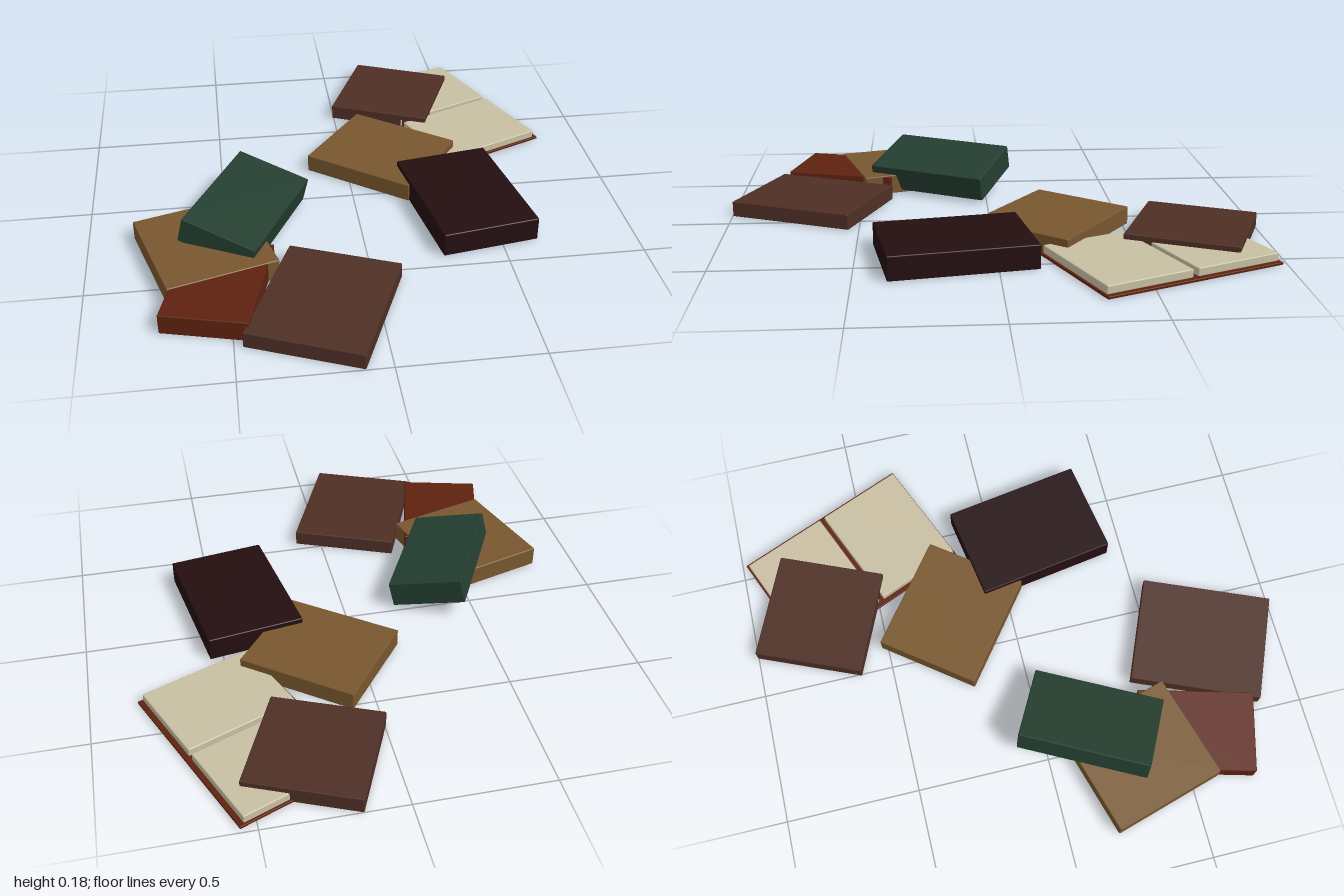
import * as THREE from 'three';
import { RoundedBoxGeometry } from 'three/addons/geometries/RoundedBoxGeometry.js';

const material = (name, color) => {
  const m = new THREE.MeshStandardMaterial({ color });
  m.name = name;
  return m;
};

export function createModel() {
  const brown = material('brown leather', 0x4e2f25);
  const tan = material('tan leather', 0x78572e);
  const green = material('green cloth', 0x243e30);
  const maroon = material('dark maroon leather', 0x240e10);
  const red = material('red leather', 0x5e220f);
  const paper = material('paper', 0xc8bfa3);

  const model = new THREE.Group();
  model.name = 'scatteredBooks';
  const rad = THREE.MathUtils.degToRad;

  // Slightly bevelled block, standing on its own base
  const block = (name, w, h, d, mat) => {
    const geometry = new RoundedBoxGeometry(w, h, d, 1, Math.min(0.004, h * 0.2));
    geometry.translate(0, h / 2, 0);
    const mesh = new THREE.Mesh(geometry, mat);
    mesh.name = name;
    return mesh;
  };

  // Closed books lying flat: name, material, width, height, depth, x, z, turn in degrees, base y
  const closed = [
    ['backBrownBook', brown, 0.412, 0.06, 0.416, 0.265, -0.73, -23.5, 0.001],
    ['frontBrownBook', brown, 0.412, 0.06, 0.498, -0.185, 0.69, -22.8, 0],
    ['middleTanBook', tan, 0.456, 0.069, 0.4, 0.148, -0.227, -37.3, 0.001],
    ['sideTanBook', tan, 0.406, 0.076, 0.438, -0.578, 0.338, 16.5, 0.002],
    ['redBook', red, 0.306, 0.075, 0.439, -0.538, 0.5625, -15, 0],
    ['maroonBook', maroon, 0.367, 0.09, 0.532, 0.411, 0.148, 9.3, 0],
  ];
  for (const [name, mat, w, h, d, x, z, turn, y] of closed) {
    const book = block(name, w, h, d, mat);
    book.position.set(x, y, z);
    book.rotation.y = rad(turn);
    model.add(book);
  }

  // Green book leaning on the tan one
  const leaning = new THREE.Group();
  leaning.name = 'leaningGreenBook';
  const greenBook = block('greenBook', 0.29, 0.1, 0.497, green);
  greenBook.geometry.translate(0, -0.05, 0);
  greenBook.rotation.z = rad(-14);
  leaning.add(greenBook);
  leaning.position.set(-0.424, 0.095, 0.18);
  leaning.rotation.y = rad(-27.4);
  model.add(leaning);

  // Open book: flat cover with a page block on each side of the fold
  const open = new THREE.Group();
  open.name = 'openBook';
  open.add(block('openCover', 0.466, 0.01, 0.71, red));
  for (const side of [-1, 1]) {
    const pages = block(side < 0 ? 'backPages' : 'frontPages', 0.43, 0.031, 0.338, paper);
    pages.position.set(0, 0.009, side * 0.179);
    open.add(pages);
  }
  open.position.set(0.478, 0, -0.568);
  open.rotation.y = rad(22.7);
  model.add(open);

  return model;
}
